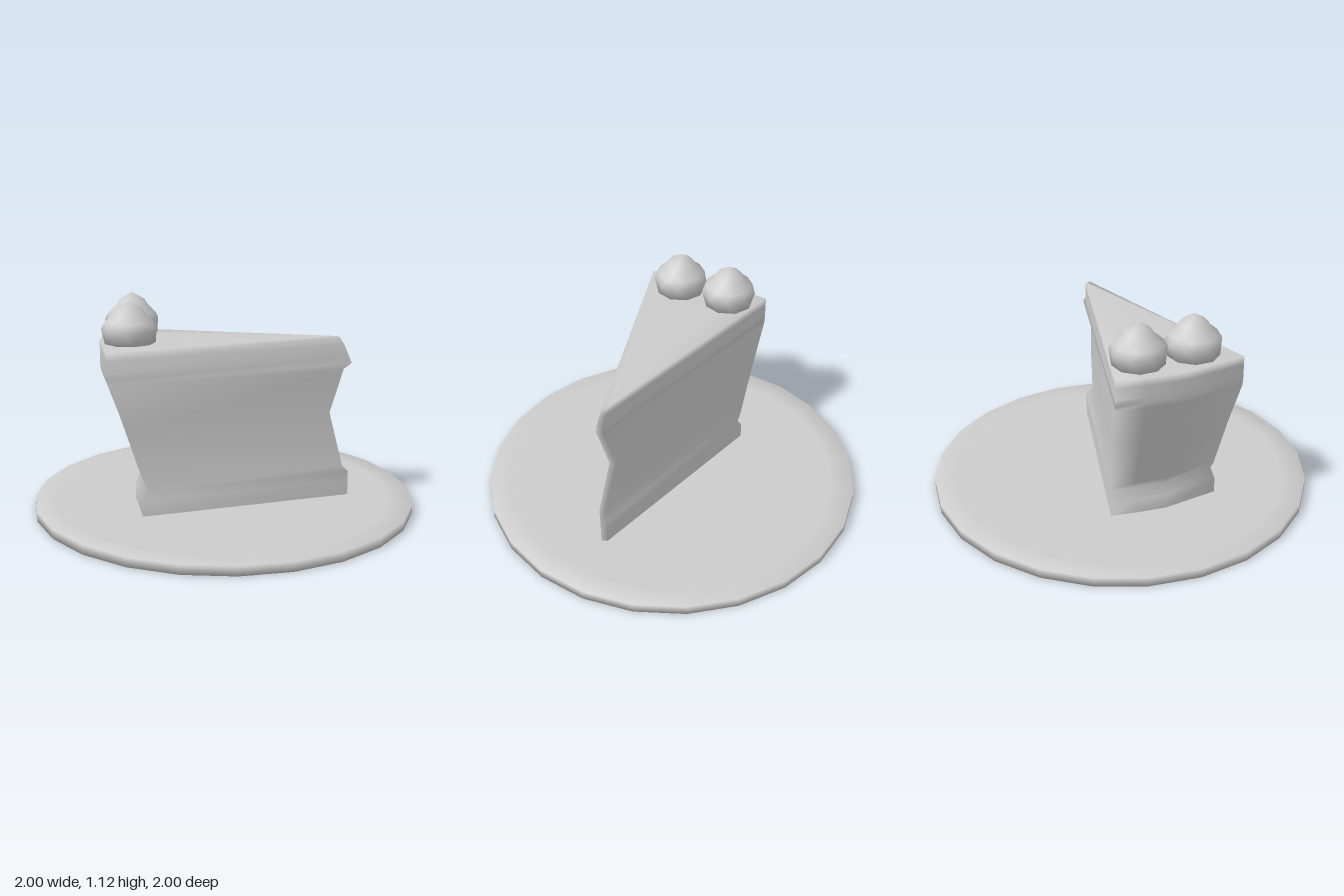
import * as THREE from 'three';
import { mergeVertices } from 'three/addons/utils/BufferGeometryUtils.js';

const material = new THREE.MeshStandardMaterial({ color: 0xcccccc });

function part(name, geometry) {
  const mesh = new THREE.Mesh(geometry, material);
  mesh.name = name;
  return mesh;
}

function lathe(profile, sides) {
  return new THREE.LatheGeometry(profile.map(([r, y]) => new THREE.Vector2(r, y)), sides);
}

// Wedge: stacked outlines, each with a curved rear edge and a narrow blunt tip
function sliceGeometry() {
  const rear = [[-0.65, 0.06], [-0.595, 0.2], [-0.52, 0.37], [-0.31, 0.64]];
  // height, how far the rear is drawn towards the tip, tip x, tip z
  const rings = [
    [0.05, 0.128, 0.61, -0.255],
    [0.13, 0.128, 0.61, -0.255],
    [0.18, 0.155, 0.61, -0.255],
    [0.22, 0.138, 0.59, -0.215],
    [0.5, 0.07, 0.515, -0.21],
    [0.74, 0.004, 0.585, -0.215],
    [0.765, 0, 0.61, -0.265],
    [0.8, 0, 0.6, -0.25],
    [0.86, 0, 0.575, -0.245],
    [0.9, 0, 0.55, -0.24]
  ];
  const positions = [], index = [];
  for (const [y, k, tipX, tipZ] of rings) {
    for (const [x, z] of rear) positions.push(x + (0.61 - x) * k, y, z + (-0.28 - z) * k);
    positions.push(tipX, y, tipZ, tipX - 0.025, y, tipZ - 0.02);
  }
  const n = rear.length + 2;
  for (let j = 0; j < rings.length - 1; j++) {
    for (let i = 0; i < n; i++) {
      const a = j * n + i, b = j * n + (i + 1) % n;
      index.push(a, b, b + n, a, b + n, a + n);
    }
  }
  // Top, fanned from the tip
  const top = (rings.length - 1) * n;
  for (let i = 0; i < n - 2; i++) index.push(top + n - 1, top + i, top + i + 1);

  const geometry = new THREE.BufferGeometry();
  geometry.setAttribute('position', new THREE.Float32BufferAttribute(positions, 3));
  geometry.setIndex(index);
  geometry.computeVertexNormals();
  return geometry;
}

// Cream dollop: a lathed drop, twisted as it rises
function dollopGeometry() {
  let geometry = lathe([[0, 0], [0.13, 0], [0.142, 0.07], [0.125, 0.105],
    [0.085, 0.14], [0.065, 0.17], [0, 0.21]], 9);
  geometry.deleteAttribute('normal');
  geometry.deleteAttribute('uv');
  geometry = mergeVertices(geometry, 1e-4);
  const p = geometry.attributes.position;
  for (let i = 0; i < p.count; i++) {
    const v = new THREE.Vector3().fromBufferAttribute(p, i);
    v.applyAxisAngle(new THREE.Vector3(0, 1, 0), v.y * 5);
    p.setXYZ(i, v.x, v.y, v.z);
  }
  geometry.computeVertexNormals();
  return geometry;
}

export function createModel() {
  const group = new THREE.Group();
  group.name = 'cakeSlice';

  group.add(part('plate', lathe([[0, 0], [1, 0], [1, 0.05], [0.88, 0.05], [0, 0.05]], 24)));
  group.add(part('slice', sliceGeometry()));

  const dollop = dollopGeometry();
  [[-0.46, 0.145], [-0.325, 0.395]].forEach(([x, z], i) => {
    const mesh = part('creamDollop' + (i + 1), dollop);
    mesh.position.set(x, 0.91, z);
    group.add(mesh);
  });
  return group;
}
